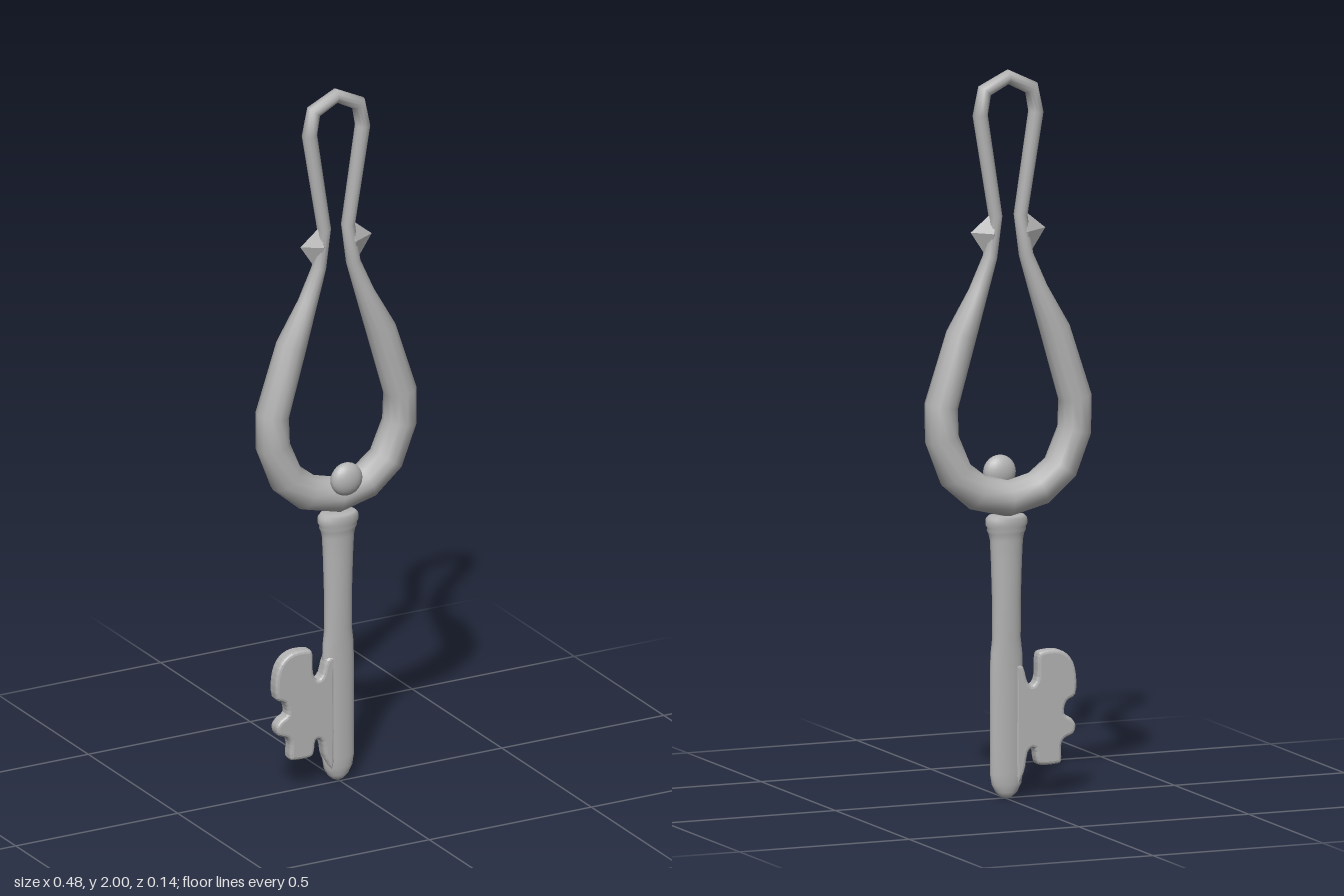
import * as THREE from 'three';
import { ConvexGeometry } from 'three/addons/geometries/ConvexGeometry.js';

// Skin of quads over rings of points, optionally joining the last ring to the first
function loft(rings, closed = false) {
  const n = rings[0].length, index = [];
  const last = closed ? rings.length : rings.length - 1;
  for (let i = 0; i < last; i++) {
    const k = (i + 1) % rings.length;
    for (let j = 0; j < n; j++) {
      const a = i * n + j, b = k * n + j;
      const c = i * n + (j + 1) % n, d = k * n + (j + 1) % n;
      index.push(a, c, b, c, d, b);
    }
  }
  const geo = new THREE.BufferGeometry().setFromPoints(rings.flat());
  geo.setIndex(index);
  geo.computeVertexNormals();
  return geo;
}

// Closed bow of varying thickness, mirrored from its +x half: x, y, radius
function bowGeometry() {
  const half = [
    [0, 1.98, 0.02], [0.069, 1.946, 0.021], [0.082, 1.88, 0.021],
    [0.037, 1.6, 0.019], [0.053, 1.49, 0.02], [0.088, 1.395, 0.027],
    [0.138, 1.28, 0.042], [0.197, 1.09, 0.046], [0.195, 1.0, 0.047],
    [0.154, 0.9, 0.049], [0.09, 0.847, 0.05], [0, 0.824, 0.05],
  ];
  const path = [...half, ...half.slice(1, -1).reverse().map(([x, y, r]) => [-x, y, r])];
  const rings = path.map(([x, y, r], i) => {
    const p = path[(i + path.length - 1) % path.length], q = path[(i + 1) % path.length];
    const t = new THREE.Vector2(q[0] - p[0], q[1] - p[1]).normalize();
    return Array.from({ length: 12 }, (_, j) => {
      const a = j / 12 * Math.PI * 2, s = r * Math.cos(a);
      return new THREE.Vector3(x - t.y * s, y + t.x * s, -0.021 + r * Math.sin(a));
    });
  });
  return loft(rings, true);
}

// Shaft with a ringed collar, flattening toward the tip: y, half width, half depth
function shaftGeometry() {
  const profile = [
    [0.778, 0.001, 0.001], [0.778, 0.05, 0.034], [0.77, 0.059, 0.038], [0.752, 0.06, 0.038],
    [0.745, 0.055, 0.035], [0.737, 0.056, 0.036], [0.728, 0.051, 0.033], [0.71, 0.047, 0.031],
    [0.65, 0.044, 0.03], [0.55, 0.041, 0.028], [0.44, 0.041, 0.024], [0.4, 0.046, 0.022],
    [0.34, 0.048, 0.022], [0.07, 0.048, 0.021], [0.04, 0.043, 0.02], [0.018, 0.031, 0.017],
    [0.005, 0.016, 0.01], [0, 0.001, 0.001],
  ];
  return loft(profile.map(([y, rx, rz]) => Array.from({ length: 24 }, (_, j) => {
    const a = j / 24 * Math.PI * 2;
    return new THREE.Vector3(rx * Math.cos(a), y, -0.01 + rz * Math.sin(a));
  })));
}

// Notched bit with soft edges
function bitGeometry() {
  const outline = [
    [-0.02, 0.37], [-0.044, 0.36], [-0.056, 0.32], [-0.071, 0.309], [-0.084, 0.33], [-0.086, 0.385],
    [-0.1, 0.4], [-0.15, 0.4], [-0.185, 0.375], [-0.2, 0.33], [-0.198, 0.275],
    [-0.172, 0.257], [-0.165, 0.225], [-0.186, 0.21], [-0.198, 0.192], [-0.192, 0.168],
    [-0.165, 0.155], [-0.156, 0.135], [-0.156, 0.095], [-0.14, 0.087], [-0.095, 0.087],
    [-0.082, 0.1], [-0.076, 0.133], [-0.058, 0.125], [-0.046, 0.07], [-0.02, 0.06],
  ].map(([x, y]) => new THREE.Vector2(x, y));
  const smooth = new THREE.SplineCurve([...outline, outline[0]]).getPoints(78).slice(0, -1);
  const geo = new THREE.ExtrudeGeometry(new THREE.Shape(smooth), {
    depth: 0.018, bevelThickness: 0.011, bevelSize: 0.01, bevelOffset: -0.01, bevelSegments: 3,
  });
  return geo.translate(0, 0, -0.019);
}

// Pointed barb on the outside of the bow's neck
function barbGeometry(side) {
  return new ConvexGeometry([
    [0.042, 1.615, -0.021], [0.06, 1.485, -0.021], [0.05, 1.555, 0.002],
    [0.05, 1.555, -0.044], [0.11, 1.56, -0.021], [0.03, 1.55, -0.021],
  ].map(([x, y, z]) => new THREE.Vector3(x * side, y, z)));
}

export function createModel() {
  const group = new THREE.Group();
  const metal = new THREE.MeshStandardMaterial({ color: 0xb3b3b3 });
  metal.name = 'grey metal';
  const add = (name, geo) => {
    const mesh = new THREE.Mesh(geo, metal);
    mesh.name = name;
    group.add(mesh);
    return mesh;
  };

  add('bow', bowGeometry());
  add('leftBarb', barbGeometry(1));
  add('rightBarb', barbGeometry(-1));
  add('shaft', shaftGeometry());
  add('bit', bitGeometry());

  // Flattened stud on the front of the bow
  const stud = add('stud', new THREE.SphereGeometry(1, 20, 14));
  stud.scale.set(0.047, 0.047, 0.028);
  stud.position.set(0, 0.888, 0.037);

  return group;
}
